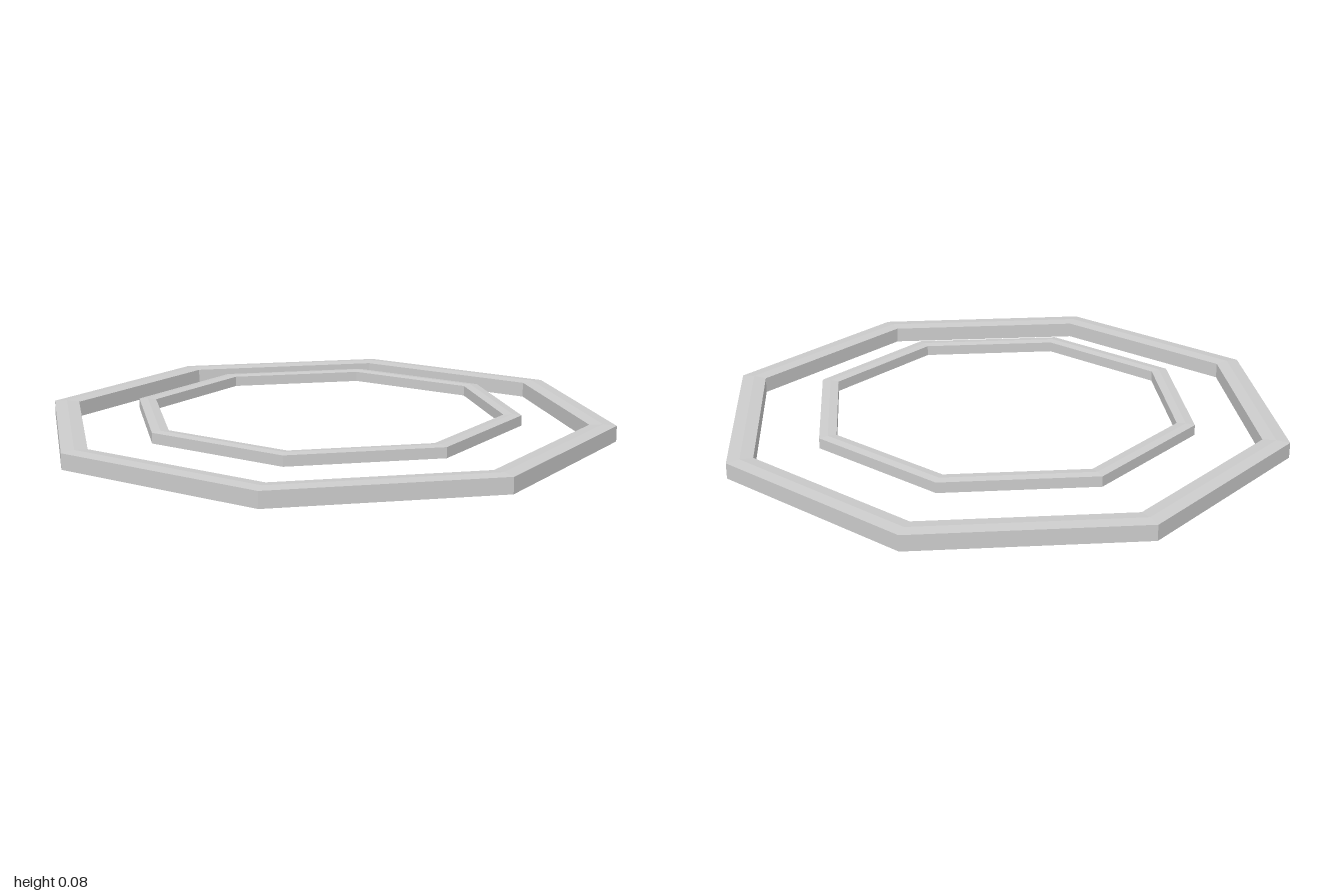
import * as THREE from 'three';

const material = new THREE.MeshStandardMaterial({ color: 0xcccccc, flatShading: true });

// Octagonal ring with upright walls and slightly crowned top and bottom
function makeRing(name, outer, inner, height, crown, centreY) {
  const mid = (outer + inner) / 2;
  const h = height / 2;
  const profile = [
    [outer, -h + crown], [outer, h - crown], [mid, h],
    [inner, h - crown], [inner, -h + crown], [mid, -h], [outer, -h + crown],
  ].map(([r, y]) => new THREE.Vector2(r, y));
  const ring = new THREE.Mesh(new THREE.LatheGeometry(profile, 8), material);
  ring.name = name;
  ring.position.y = centreY;
  return ring;
}

export function createModel() {
  const group = new THREE.Group();
  group.name = 'octagonalRings';
  group.add(makeRing('outerRing', 1, 0.908, 0.062, 0.004, 0.031));
  // Smaller ring floating a little higher inside the outer one
  group.add(makeRing('innerRing', 0.68, 0.618, 0.042, 0.003, 0.062));
  return group;
}
